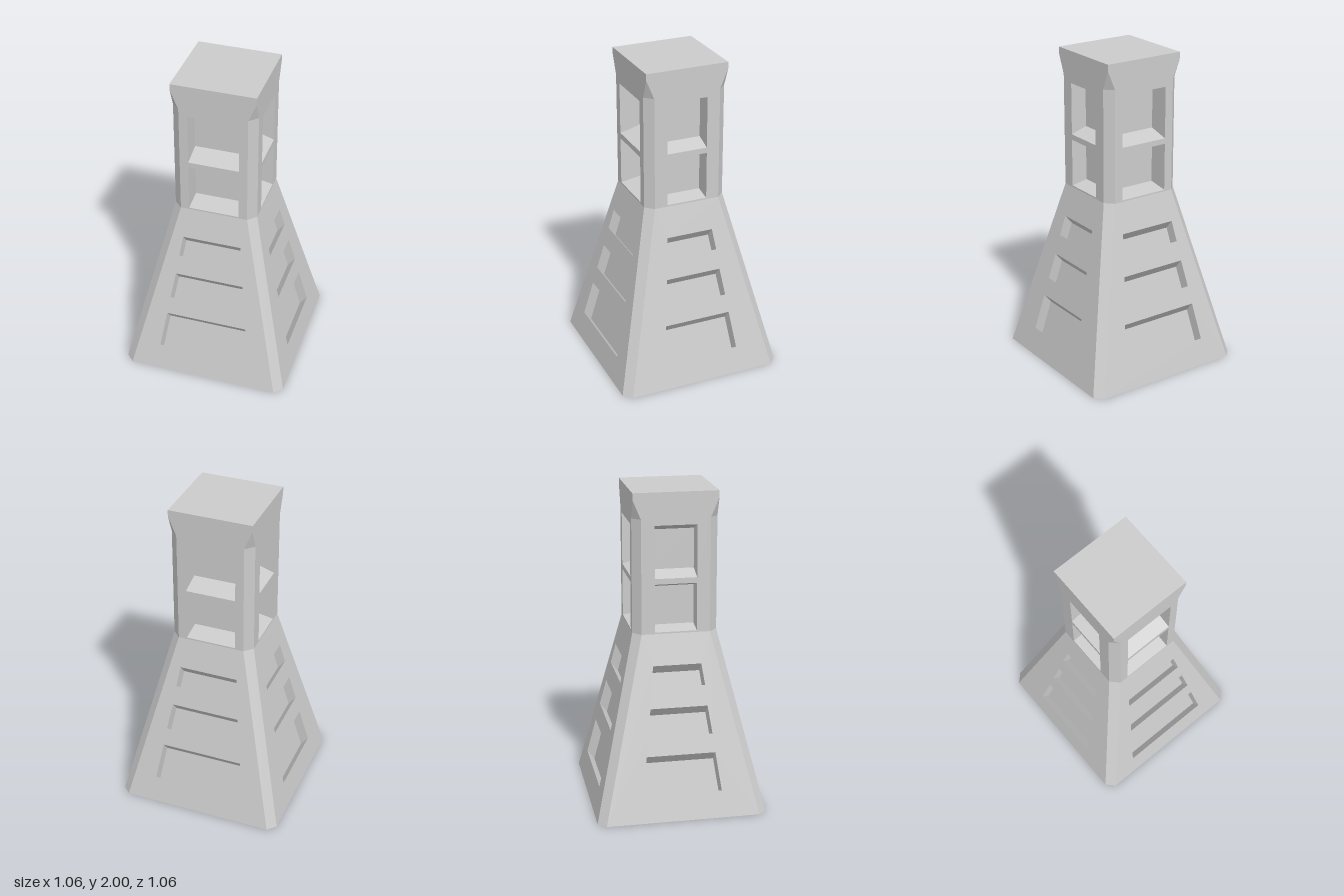
import * as THREE from 'three';

const material = new THREE.MeshStandardMaterial({ color: 0xcccccc, flatShading: true });
const BASE = 0.53, TOP = 0.262, WAIST = 1.13, CUT = 0.05;

// distance of a wall from the tower axis at height y
const wallAt = (y) => (y < WAIST ? BASE + ((TOP - BASE) * y) / WAIST : TOP);

function addMesh(parent, name, geometry) {
  const mesh = new THREE.Mesh(geometry, material);
  mesh.name = name;
  parent.add(mesh);
}

// polygons (each a convex loop of [x, y, z]) as flat faces
function faces(polygons) {
  const pos = [];
  for (const p of polygons)
    for (let i = 1; i < p.length - 1; i++) pos.push(...p[0], ...p[i], ...p[i + 1]);
  const g = new THREE.BufferGeometry();
  g.setAttribute('position', new THREE.Float32BufferAttribute(pos, 3));
  g.computeVertexNormals();
  return g;
}

// wall outline with openings, laid onto the sloping or upright wall
function wallPanel(outline, openings) {
  const toPoints = (l) => l.map(([x, y]) => new THREE.Vector2(x, y));
  const shape = new THREE.Shape(toPoints(outline));
  for (const o of openings) shape.holes.push(new THREE.Path(toPoints(o)));
  const g = new THREE.ShapeGeometry(shape);
  const p = g.attributes.position;
  for (let i = 0; i < p.count; i++) p.setZ(i, wallAt(p.getY(i)));
  g.computeVertexNormals();
  return g;
}

// four reveals and a back, between a front loop and a back loop
function recess(front, back) {
  const polygons = front.map((f, i) => {
    const j = (i + 1) % 4;
    return [f, front[j], back[j], back[i]];
  });
  return faces([...polygons, back]);
}

const trapezoid = (y0, y1, w0, w1) => [[-w0, y0], [w0, y0], [w1, y1], [-w1, y1]];

function buildSide(isWide) {
  const side = new THREE.Group();

  // sloping base wall with three slots that cut inward and downward
  const slots = isWide
    ? [[0.165, 0.4, 0.295, 0.26], [0.515, 0.685, 0.245, 0.218], [0.81, 0.94, 0.204, 0.185]]
    : [[0.165, 0.4, 0.246, 0.215], [0.515, 0.685, 0.202, 0.178], [0.81, 0.94, 0.168, 0.15]];
  const slotLoops = slots.map((s) => trapezoid(...s));
  addMesh(side, 'baseWall', wallPanel(trapezoid(0, WAIST, BASE - CUT, TOP - CUT), slotLoops));
  for (const loop of slotLoops) {
    const front = loop.map(([x, y]) => [x, y, wallAt(y)]);
    const back = front.map(([x, y, z]) => [x - Math.sign(x) * 0.004, y - 0.058, z - 0.045]);
    addMesh(side, 'slot', recess(front, back));
  }

  // upright tower wall with two windows, flaring to full width at the top
  const half = isWide ? 0.158 : 0.13;
  const floor = isWide ? 0.13 : 0.158;
  const n = TOP - CUT;
  const outline = [[-n, WAIST], [n, WAIST], [n, 1.84], [TOP, 1.96], [TOP, 2],
    [-TOP, 2], [-TOP, 1.96], [-n, 1.84]];
  const windows = [[1.14, 1.44, 1.16, 1.405], [1.475, 1.8, 1.51, 1.757]];
  addMesh(side, 'towerWall', wallPanel(outline, windows.map(([a, b]) => trapezoid(a, b, half, half))));
  for (const [y0, y1, b0, b1] of windows) {
    const loop = (a, b, z) => trapezoid(a, b, half, half).map(([x, y]) => [x, y, z]);
    addMesh(side, 'window', recess(loop(y0, y1, TOP), loop(b0, b1, floor)));
  }

  // cut corner, ending in a point under the roof
  const edge = (y) => {
    const w = wallAt(y);
    return [[w - CUT, y, w], [w, y, w - CUT]];
  };
  const [a0, a1] = edge(0), [b0, b1] = edge(WAIST), [c0, c1] = edge(1.84);
  addMesh(side, 'corner', faces([
    [a0, a1, b1, b0], [b0, b1, c1, c0], [c0, c1, [TOP, 1.96, TOP]],
  ]));
  return side;
}

export function createModel() {
  const model = new THREE.Group();
  model.name = 'tower';
  ['front', 'left', 'back', 'right'].forEach((name, k) => {
    const side = buildSide(k % 2 === 0);
    side.name = name + 'Side';
    side.rotation.y = (k * Math.PI) / 2;
    model.add(side);
  });

  // flat roof
  addMesh(model, 'roof', new THREE.PlaneGeometry(2 * TOP, 2 * TOP).rotateX(-Math.PI / 2).translate(0, 2, 0));

  // underside with cut corners
  const b = BASE, c = BASE - CUT;
  addMesh(model, 'underside', faces([[
    [-c, 0, -b], [c, 0, -b], [b, 0, -c], [b, 0, c], [c, 0, b], [-c, 0, b], [-b, 0, c], [-b, 0, -c],
  ]]));
  return model;
}
